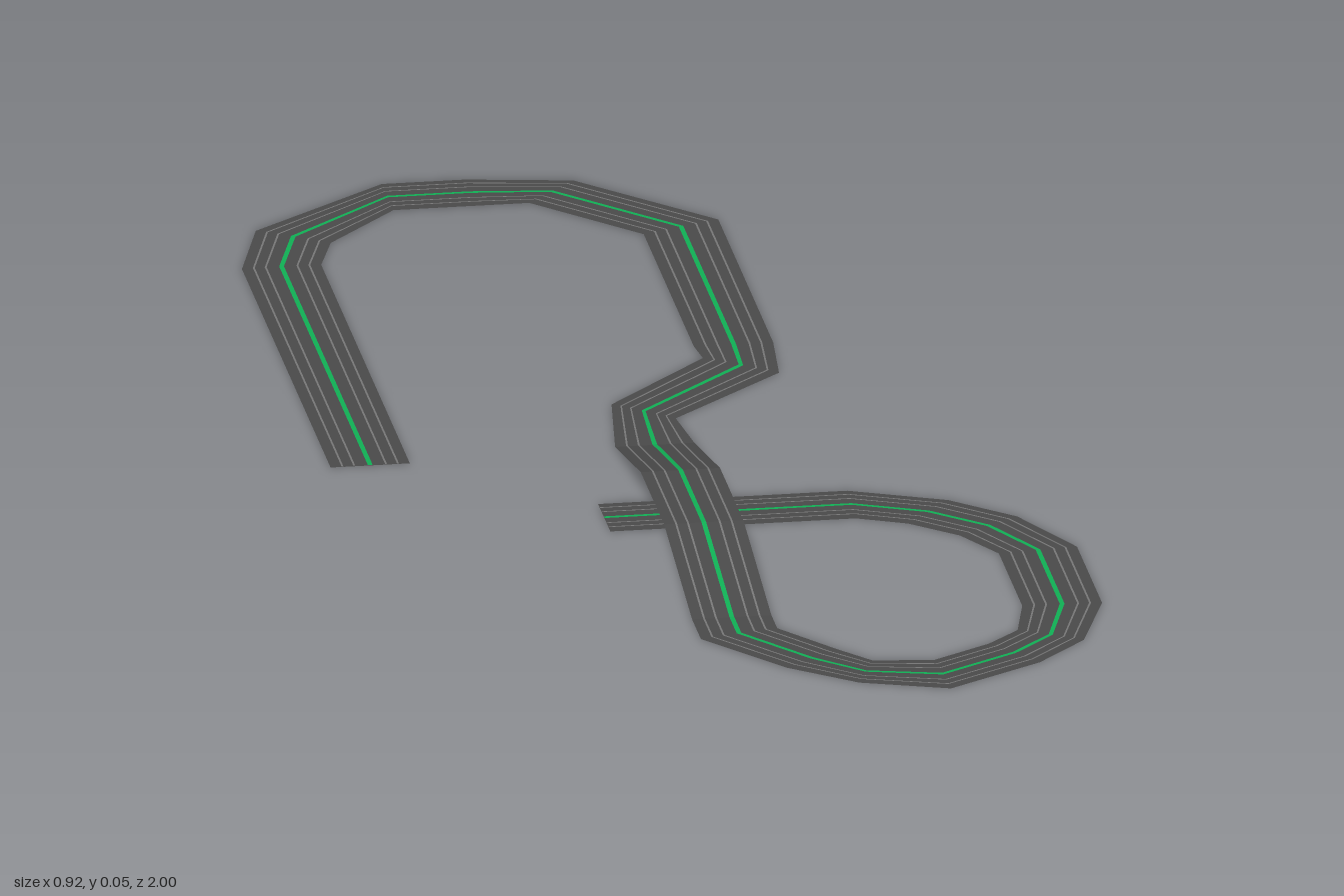
import * as THREE from 'three';

// Cross-sections along the track: [left x, left z, right x, right z, height]
const SECTIONS = [
  [-0.46, 0.05, -0.355, 0.05, 0],
  [-0.46, -0.71, -0.355, -0.71, 0],
  [-0.42, -0.85, -0.33, -0.79, 0],
  [-0.23, -1.0, -0.23, -0.9, 0],
  [-0.12, -1.0, -0.12, -0.9, 0],
  [0.02, -0.975, -0.05, -0.9, 0],
  [0.185, -0.8, 0.08, -0.76, 0],
  [0.185, -0.33, 0.08, -0.33, 0],
  [0.175, -0.215, 0.085, -0.285, 0],
  [0.015, -0.065, -0.06, -0.13, 0],
  [0.025, 0.03, -0.08, 0.03, 0],
  // bridge
  [0.025, 0.25, -0.08, 0.25, 0.045],
  [0.025, 0.45, -0.08, 0.45, 0.045],
  [0.025, 0.69, -0.08, 0.69, 0],
  // lower loop
  [0.025, 0.74, -0.08, 0.765, 0],
  [0.09, 0.83, 0.015, 0.89, 0],
  [0.13, 0.88, 0.1, 0.96, 0],
  [0.21, 0.89, 0.215, 1.0, 0],
  [0.29, 0.84, 0.345, 0.92, 0],
  [0.335, 0.795, 0.415, 0.845, 0],
  [0.355, 0.705, 0.46, 0.71, 0],
  [0.355, 0.505, 0.46, 0.495, 0],
  [0.315, 0.43, 0.4, 0.37, 0],
  [0.255, 0.375, 0.32, 0.295, 0],
  [0.19, 0.345, 0.195, 0.24, 0],
  [-0.135, 0.345, -0.135, 0.24, 0],
];

// Ribbon covering the fraction a..b of the track width, raised by lift
function ribbon(name, a, b, lift, material) {
  const positions = [];
  const indices = [];
  SECTIONS.forEach(([lx, lz, rx, rz, y], i) => {
    for (const t of [a, b]) {
      positions.push(lx + (rx - lx) * t, y + lift, lz + (rz - lz) * t);
    }
    if (i > 0) {
      const k = 2 * i - 2;
      indices.push(k, k + 1, k + 2, k + 1, k + 3, k + 2);
    }
  });
  const indexed = new THREE.BufferGeometry();
  indexed.setAttribute('position', new THREE.Float32BufferAttribute(positions, 3));
  indexed.setIndex(indices);
  const geometry = indexed.toNonIndexed();
  geometry.computeVertexNormals();
  const mesh = new THREE.Mesh(geometry, material);
  mesh.name = name;
  return mesh;
}

export function createModel() {
  const group = new THREE.Group();
  group.name = 'raceTrack';

  const asphalt = new THREE.MeshStandardMaterial({ color: 0x4a4a4a, side: THREE.DoubleSide });
  const groove = new THREE.MeshStandardMaterial({ color: 0x777777 });
  const green = new THREE.MeshStandardMaterial({ color: 0x10b055 });

  // Road surface
  group.add(ribbon('roadSurface', 0, 1, 0, asphalt));

  // Fine lane lines either side of the middle, then the green centre line
  for (const t of [0.15, 0.3, 0.7, 0.85]) {
    group.add(ribbon('laneLine', t - 0.012, t + 0.012, 0.0008, groove));
  }
  group.add(ribbon('centreLine', 0.47, 0.53, 0.0008, green));

  return group;
}
